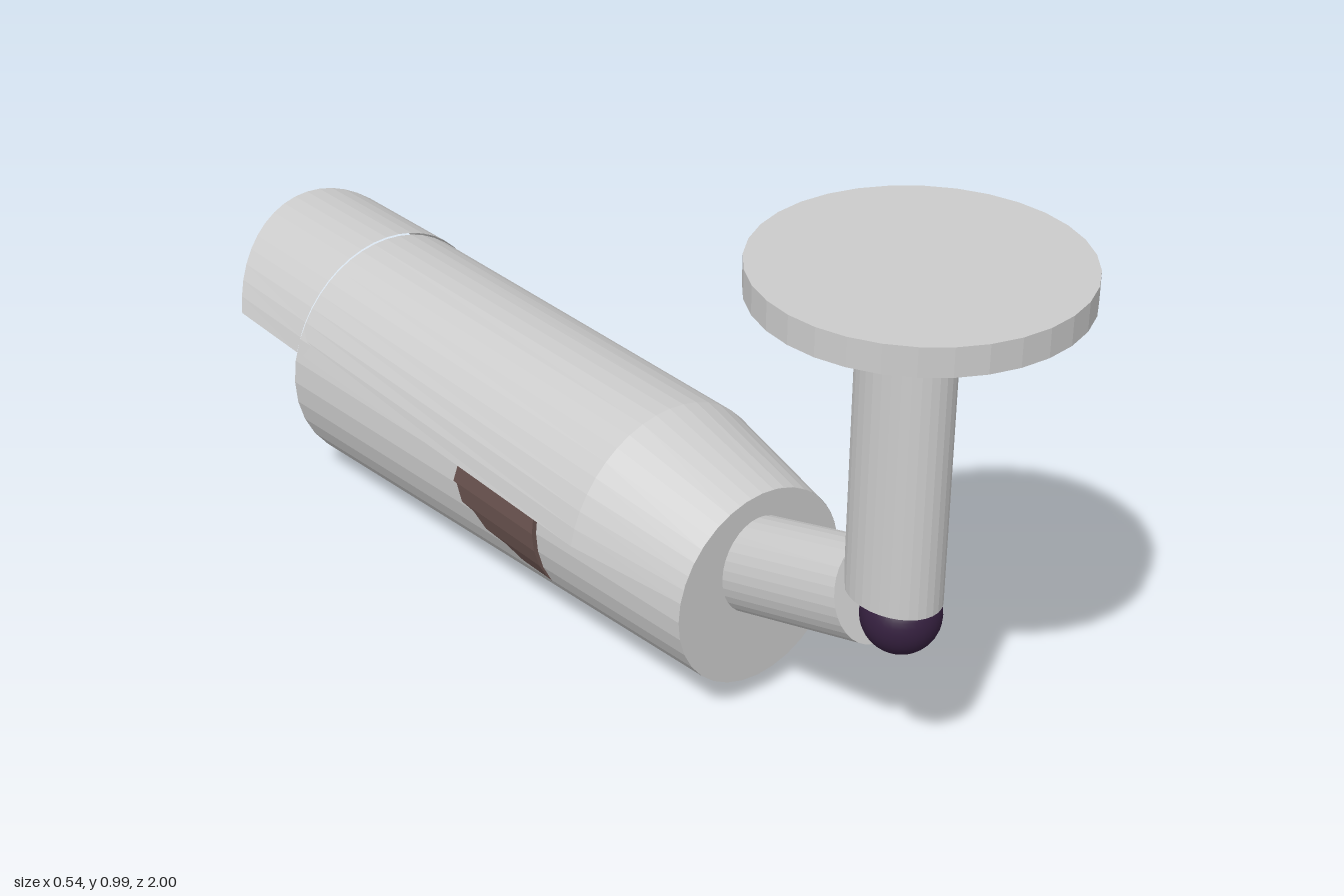
import * as THREE from 'three';

const mat = (color, side = THREE.FrontSide) =>
  new THREE.MeshStandardMaterial({ color, side, flatShading: true });
const grey = mat(0xcccccc), shell = mat(0xcccccc, THREE.DoubleSide);
const brown = mat(0x6b5450), black = mat(0x111111), purple = mat(0x35203f);

export function createModel() {
  const model = new THREE.Group();
  const add = (parent, name, geo, material, x, y, z) => {
    const m = new THREE.Mesh(geo, material);
    m.name = name;
    m.position.set(x, y, z);
    parent.add(m);
    return m;
  };
  // Cylinder lying along z, from the rear (z0) to the lens end (z1 < z0)
  const barrel = (parent, name, rRear, rFront, z0, z1, y, material, sx = 1, sy = 1, segs = 32) => {
    const g = new THREE.CylinderGeometry(rFront, rRear, z0 - z1, segs);
    g.rotateX(-Math.PI / 2).scale(sx, sy, 1);
    return add(parent, name, g, material, 0, y, (z0 + z1) / 2);
  };
  // Arched sheet lofted through sections; lip folds the lower edges inward
  const arch = (sections, lip, n = 20) => {
    const pos = [], idx = [];
    sections.forEach(({ z, rx, ry, cy, edge }) => {
      const a0 = Math.asin((edge - cy) / ry), loop = [];
      for (let i = 0; i <= n; i++) {
        const a = a0 + (Math.PI - 2 * a0) * i / n;
        loop.push([rx * Math.cos(a), cy + ry * Math.sin(a)]);
      }
      if (lip) {
        loop.unshift([loop[0][0] * 0.84, edge]);
        loop.push([-loop[0][0], edge]);
      }
      loop.forEach(([x, y]) => pos.push(x, y, typeof z === 'function' ? z(y) : z));
    });
    const w = pos.length / 3 / sections.length;
    for (let s = 0; s < sections.length - 1; s++) {
      for (let i = 0; i < w - 1; i++) {
        const a = s * w + i, b = a + w;
        idx.push(a, b, a + 1, a + 1, b, b + 1);
      }
    }
    const g = new THREE.BufferGeometry();
    g.setAttribute('position', new THREE.Float32BufferAttribute(pos, 3));
    g.setIndex(idx);
    g.computeVertexNormals();
    // reverse winding so the outside is the front
    const ia = g.index.array;
    const p = g.attributes.position, v = k => new THREE.Vector3().fromBufferAttribute(p, k);
    const t = 3 * 2 * Math.floor(w / 2);
    const nrm = v(ia[t + 1]).sub(v(ia[t])).cross(v(ia[t + 2]).sub(v(ia[t])));
    if (nrm.y < 0) for (let i = 0; i < ia.length; i += 3) [ia[i], ia[i + 1]] = [ia[i + 1], ia[i]];
    g.computeVertexNormals();
    return g;
  };

  // Ceiling mount: plate, oval pole, ball joint
  const mount = new THREE.Group();
  mount.name = 'mount';
  model.add(mount);
  add(mount, 'ceilingPlate', new THREE.CylinderGeometry(0.27, 0.27, 0.05, 32), grey, 0, 0.975, 0.73);
  add(mount, 'pole', new THREE.CylinderGeometry(1, 1, 0.546, 32).scale(0.07, 1, 0.091), grey, 0, 0.668, 0.71);
  const ballMat = purple.clone();
  ballMat.flatShading = false;
  add(mount, 'ballJoint', new THREE.SphereGeometry(0.068, 32, 20), ballMat, 0, 0.365, 0.73);

  // Sloping arm from the ball into the rear of the body
  const from = new THREE.Vector3(-0.003, 0.372, 0.662), to = new THREE.Vector3(-0.003, 0.275, 0.35);
  const arm = add(mount, 'arm',
    new THREE.CylinderGeometry(1, 1, from.distanceTo(to), 32).scale(0.079, 1, 0.089), grey, 0, 0, 0);
  arm.position.copy(from).add(to).multiplyScalar(0.5);
  arm.rotation.x = Math.atan2(to.z - from.z, to.y - from.y);

  // Camera body
  const body = new THREE.Group();
  body.name = 'body';
  body.position.x = 0.004;
  model.add(body);
  const cy = 0.238;
  const casing = barrel(body, 'casing', 0.186, 0.232, 0.385, -0.72, cy, grey, 0.98);
  casing.name = 'casing';
  barrel(body, 'innerLiner', 1, 1, 0.01, -0.732, cy + 0.002, brown, 0.207, 0.19);
  barrel(body, 'lensGasket', 0.177, 0.177, -0.72, -0.745, 0.242, black);
  barrel(body, 'lensHub', 0.055, 0.055, -0.74, -0.77, 0.243, black);
  barrel(body, 'lensPlate', 0.148, 0.148, -0.765, -0.795, 0.243, grey);
  barrel(body, 'lensPinhole', 0.014, 0.014, -0.79, -0.8, 0.243, black, 1, 1, 16);

  // Sun hood over the casing, tapering at the rear
  add(body, 'hood', arch([
    { z: 0.385, rx: 0.182, ry: 0.187, cy, edge: 0.275 },
    { z: 0.14, rx: 0.225, ry: 0.242, cy, edge: 0.285 },
    { z: -0.72, rx: 0.225, ry: 0.238, cy, edge: 0.3 },
  ], true), shell, 0, 0, 0);

  // Visor with a slanted front edge
  add(body, 'visor', arch([
    { z: -0.72, rx: 0.226, ry: 0.242, cy, edge: 0.3 },
    { z: y => -0.92 - (y - 0.303) * 0.46, rx: 0.225, ry: 0.237, cy, edge: 0.303 },
  ], false), shell, 0, 0, 0);

  return model;
}
